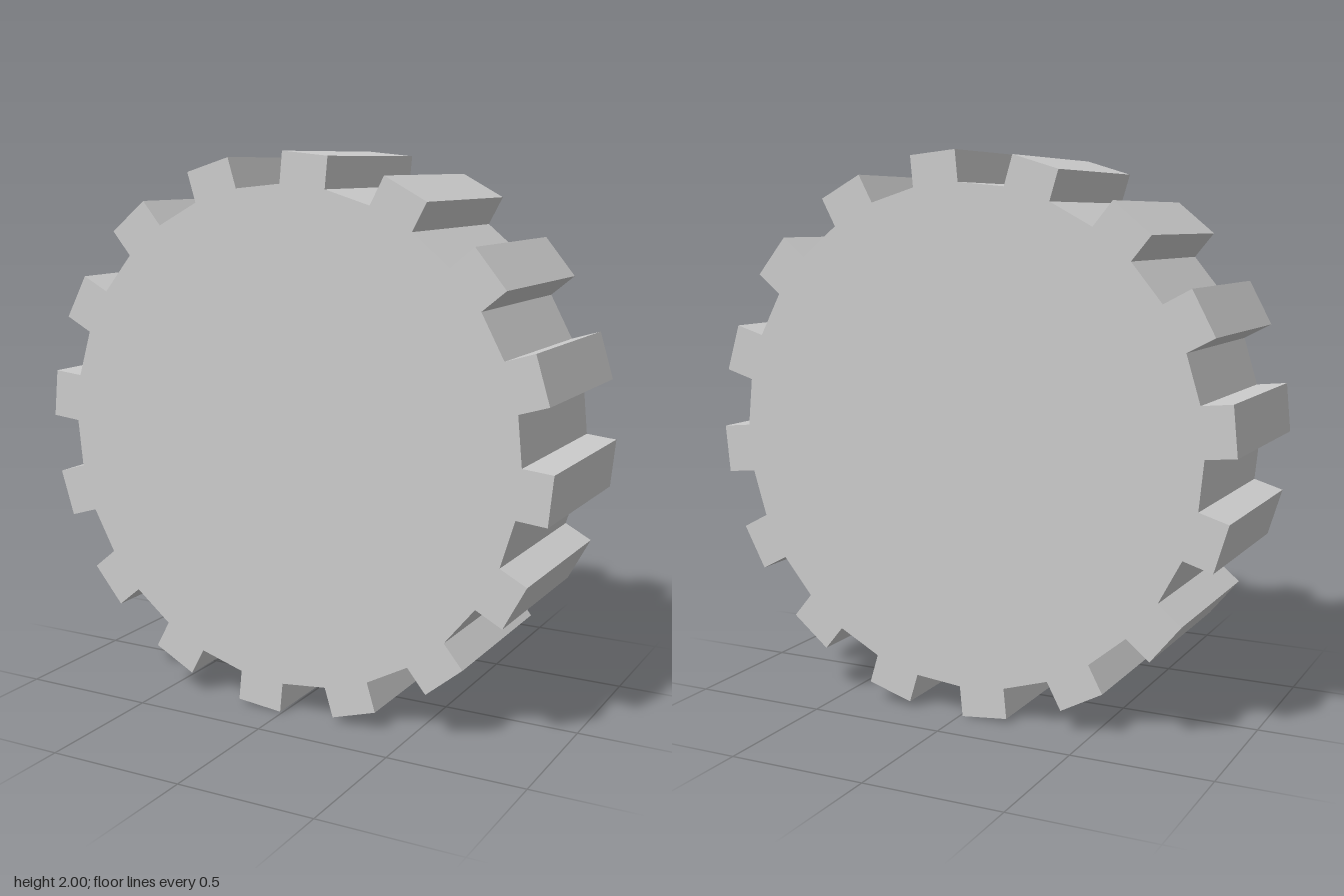
import * as THREE from 'three';

const TEETH = 16;
const ROOT_RADIUS = 0.89; // corners of the 32-sided wheel body
const TOOTH_HEIGHT = 0.11;
const DEPTH = 0.66;

// Outline: every second side of a 32-gon is pushed straight out as a tooth
function gearOutline() {
  const step = Math.PI / TEETH;
  const points = [];
  for (let i = 0; i < TEETH; i++) {
    const a = i * 2 * step; // clockwise from the top
    const mid = a + step / 2;
    const root = (t) => new THREE.Vector2(Math.sin(t), Math.cos(t)).multiplyScalar(ROOT_RADIUS);
    const out = new THREE.Vector2(Math.sin(mid), Math.cos(mid)).multiplyScalar(TOOTH_HEIGHT);
    points.push(root(a), root(a).add(out), root(a + step).add(out), root(a + step));
  }
  return new THREE.Shape(points);
}

export function createModel() {
  const model = new THREE.Group();
  model.name = 'gear';

  // Solid toothed wheel, extruded along z
  const geometry = new THREE.ExtrudeGeometry(gearOutline(), { depth: DEPTH, bevelEnabled: false });
  geometry.translate(0, 0, -DEPTH / 2);
  const wheel = new THREE.Mesh(
    geometry,
    new THREE.MeshStandardMaterial({ color: 0xcccccc, flatShading: true })
  );
  wheel.name = 'toothedWheel';
  wheel.position.y = 1;
  model.add(wheel);

  return model;
}
